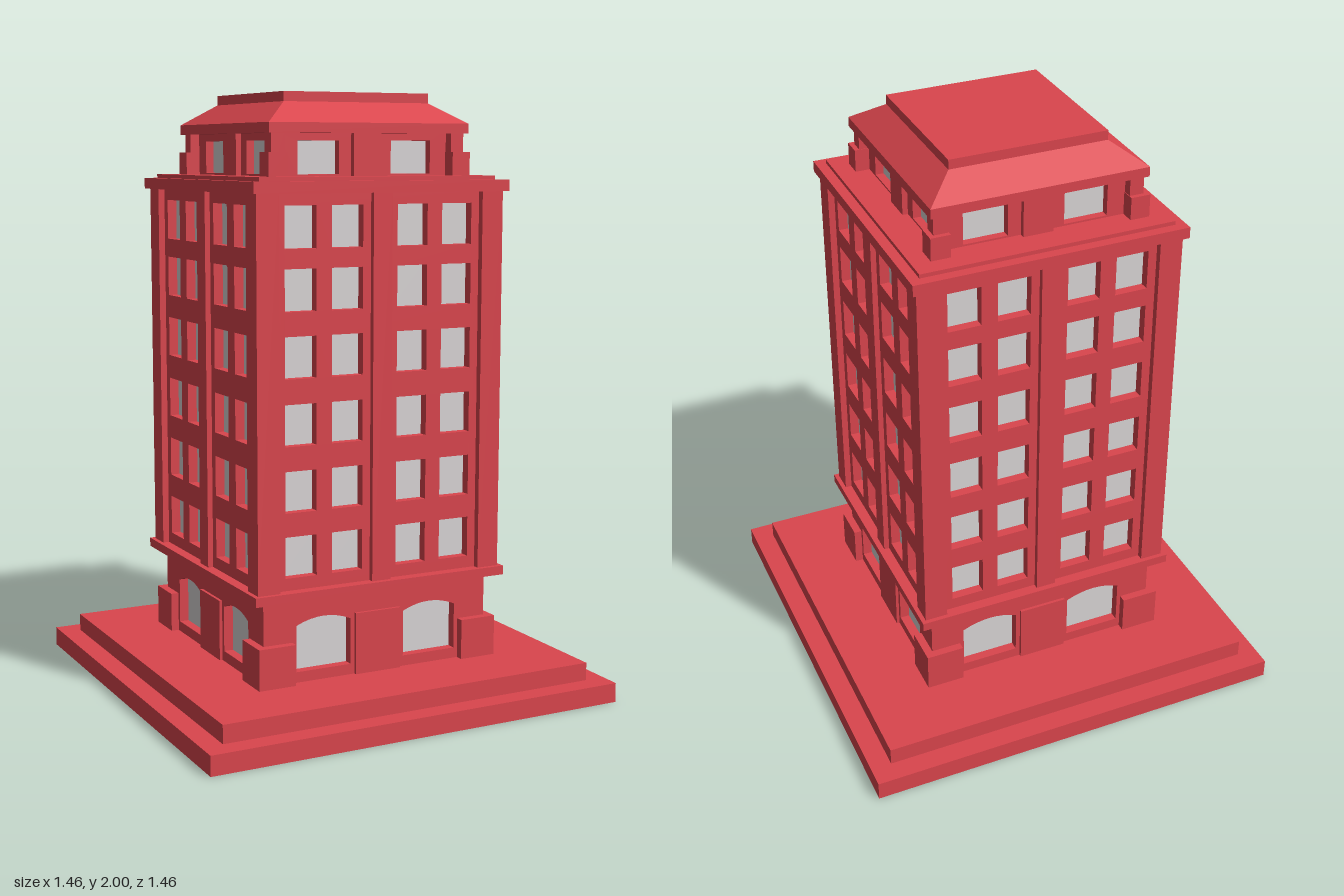
import * as THREE from 'three';

export function createModel() {
  const model = new THREE.Group();
  model.name = 'towerBlock';
  const red = new THREE.MeshStandardMaterial({ color: 0xda454d });
  red.name = 'red masonry';
  const glass = new THREE.MeshStandardMaterial({ color: 0xd9d5d6 });
  glass.name = 'pale glass';

  function add(parent, name, geometry, material = red) {
    const mesh = new THREE.Mesh(geometry, material);
    mesh.name = name;
    parent.add(mesh);
    return mesh;
  }

  // Box given by its minimum and maximum on each axis
  function block(parent, name, x0, x1, y0, y1, z0, z1, material = red) {
    const mesh = add(parent, name, new THREE.BoxGeometry(x1 - x0, y1 - y0, z1 - z0), material);
    mesh.position.set((x0 + x1) / 2, (y0 + y1) / 2, (z0 + z1) / 2);
  }

  // Square slab centred on the tower
  const slab = (name, half, y0, y1) => block(model, name, -half, half, y0, y1, -half, half);

  // Window outline with an optional shallow arched head
  function opening(path, { x0, x1, y0, y1, rise = 0 }) {
    path.moveTo(x0, y0);
    path.lineTo(x1, y0);
    path.lineTo(x1, y1 - rise);
    if (rise) path.quadraticCurveTo((x0 + x1) / 2, y1 + rise, x0, y1 - rise);
    else path.lineTo(x0, y1);
    path.closePath();
    return path;
  }

  // Pierced wall with recessed panes; four of these interlock at the corners
  function wall(parent, name, half, y0, y1, windows, thick = 0.035) {
    const shape = new THREE.Shape();
    opening(shape, { x0: -half, x1: half - thick, y0, y1 });
    windows.forEach(w => shape.holes.push(opening(new THREE.Path(), w)));
    const geometry = new THREE.ExtrudeGeometry(shape, { depth: thick, bevelEnabled: false, curveSegments: 8 });
    geometry.translate(0, 0, half - thick);
    add(parent, name, geometry);
    const m = 0.006;
    windows.forEach(w => block(parent, 'windowPane', w.x0 - m, w.x1 + m, w.y0 - m, w.y1 + m,
      half - thick - 0.006, half - thick + 0.003, glass));
  }

  // Window outlines mirrored to both halves of a facade
  const pair = (cx, hw, y0, y1, rise) =>
    [-cx, cx].map(c => ({ x0: c - hw, x1: c + hw, y0, y1, rise }));

  const shaftWindows = [];
  for (const y of [0.475, 0.685, 0.897, 1.11, 1.32, 1.515]) {
    for (const cx of [0.117, 0.281]) shaftWindows.push(...pair(cx, 0.055, y, y + 0.133));
  }

  // Four identical facades
  for (let i = 0; i < 4; i++) {
    const side = new THREE.Group();
    side.name = 'facade' + (i + 1);
    side.rotation.y = i * Math.PI / 2;
    model.add(side);

    // Ground floor with arched shop windows
    wall(side, 'groundWall', 0.41, 0.125, 0.405, pair(0.196, 0.098, 0.16, 0.335, 0.022));
    block(side, 'groundCentrePier', -0.083, 0.083, 0.125, 0.33, 0.37, 0.42);
    block(side, 'groundCornerPier', 0.308, 0.437, 0.125, 0.26, 0.308, 0.437);

    // Main shaft
    wall(side, 'shaftWall', 0.42, 0.435, 1.69, shaftWindows);
    block(side, 'shaftCentrePilaster', -0.034, 0.034, 0.435, 1.69, 0.39, 0.438);
    block(side, 'shaftCornerPilaster', 0.365, 0.442, 0.435, 1.69, 0.365, 0.442);

    // Penthouse
    wall(side, 'penthouseWall', 0.315, 1.735, 1.875, pair(0.167, 0.073, 1.741, 1.847), 0.03);
    block(side, 'penthouseCentrePier', -0.05, 0.05, 1.735, 1.875, 0.29, 0.333);
    block(side, 'penthouseCornerPier', 0.3, 0.347, 1.735, 1.875, 0.3, 0.347);
    block(side, 'penthouseCornerFoot', 0.298, 0.363, 1.735, 1.81, 0.298, 0.363);
  }

  // Stepped plinth and cornices
  slab('lowerPlinth', 0.73, 0, 0.065);
  slab('upperPlinth', 0.66, 0.065, 0.125);
  slab('lowerCornice', 0.457, 0.405, 0.435);
  slab('upperCornice', 0.457, 1.685, 1.722);
  slab('terrace', 0.423, 1.722, 1.735);

  // Hipped roof: eave, sloping skirt and flat cap
  slab('roofEave', 0.359, 1.87, 1.902);
  const hip = new THREE.CylinderGeometry(0.26 * Math.SQRT2, 0.359 * Math.SQRT2, 0.068, 4).toNonIndexed();
  hip.rotateY(Math.PI / 4);
  hip.computeVertexNormals();
  add(model, 'roofSlope', hip).position.y = 1.936;
  slab('roofCap', 0.262, 1.968, 2);

  return model;
}
